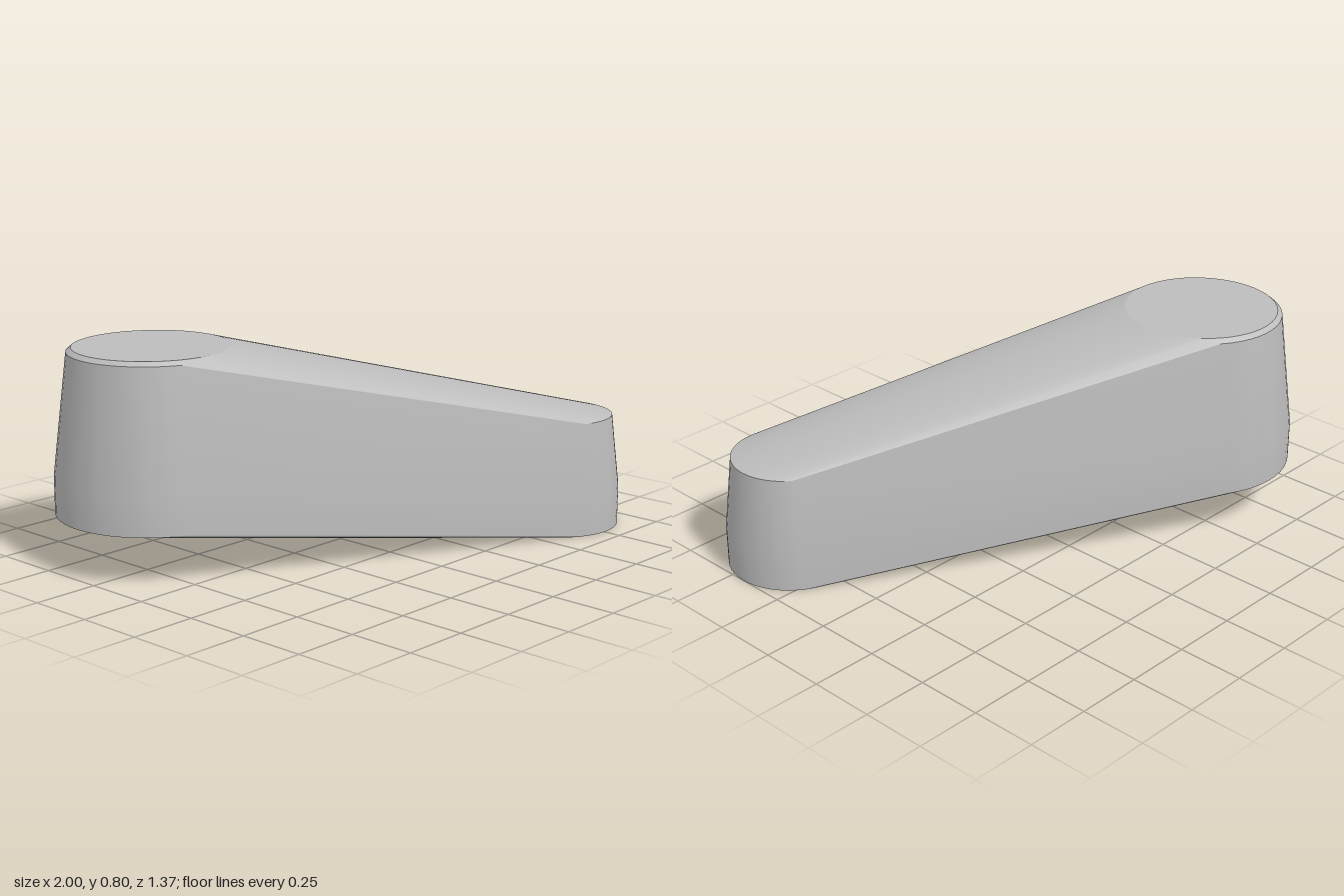
import * as THREE from 'three';
import { ConvexGeometry } from 'three/addons/geometries/ConvexGeometry.js';
import { toCreasedNormals } from 'three/addons/utils/BufferGeometryUtils.js';

const SIDES = 48;

// Horizontal circle of points
function ring(cx, cz, y, r) {
  return Array.from({ length: SIDES }, (_, i) => {
    const a = (i / SIDES) * Math.PI * 2;
    return new THREE.Vector3(cx + r * Math.cos(a), y, cz + r * Math.sin(a));
  });
}

export function createModel() {
  const group = new THREE.Group();
  group.name = 'taperedLever';
  const grey = new THREE.MeshStandardMaterial({ color: 0xbcbcbc });
  grey.name = 'grey';

  // Each end is a stack of [height, radius] rings
  const bigEnd = [[0.188, 0.36], [0.33, 0.36], [0.78, 0.304], [0.795, 0.286]];
  const smallEnd = [[0, 0.245], [0.15, 0.245], [0.43, 0.212]];

  // Solid stretched tightly round both ends
  const points = [
    ...bigEnd.flatMap(([y, r]) => ring(-0.64, -0.325, y, r)),
    ...smallEnd.flatMap(([y, r]) => ring(0.755, 0.437, y, r)),
  ];
  const body = new THREE.Mesh(toCreasedNormals(new ConvexGeometry(points), 0.2), grey);
  body.name = 'leverBody';
  group.add(body);
  return group;
}
